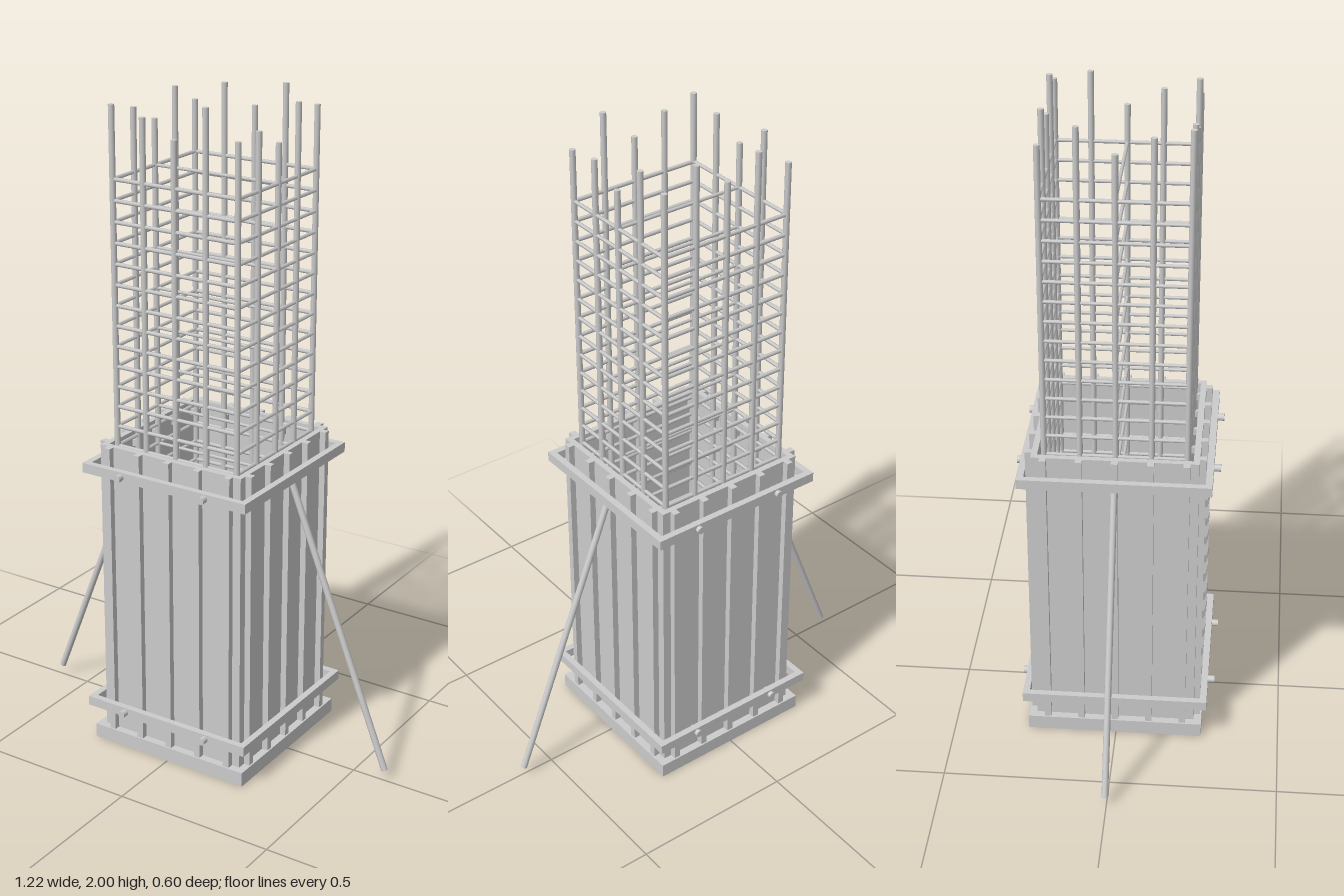
import * as THREE from 'three';

export function createModel() {
  const model = new THREE.Group();
  model.name = 'columnFormwork';
  const body = new THREE.Group();
  body.name = 'body';
  body.position.z = -0.004;
  model.add(body);
  const mat = new THREE.MeshStandardMaterial({ color: 0xcccccc });

  function box(name, w, h, d, x, y, z, parent = body) {
    const m = new THREE.Mesh(new THREE.BoxGeometry(w, h, d), mat);
    m.name = name;
    m.position.set(x, y, z);
    parent.add(m);
    return m;
  }

  // round bar between two points
  function rod(name, a, b, r, parent = body, sides = 8) {
    const p = new THREE.Vector3(...a), q = new THREE.Vector3(...b);
    const dir = q.clone().sub(p);
    const m = new THREE.Mesh(new THREE.CylinderGeometry(r, r, dir.length(), sides), mat);
    m.name = name;
    m.position.copy(p).add(q).multiplyScalar(0.5);
    m.quaternion.setFromUnitVectors(new THREE.Vector3(0, 1, 0), dir.normalize());
    parent.add(m);
  }

  const baseTop = 0.045, wallTop = 0.975, R = 0.207;
  const spots = [-R, -R / 2, 0, R / 2, R];

  // footing and low kicker inside the form
  box('base', 0.534, baseTop, 0.534, 0, baseTop / 2, 0);
  box('kicker', 0.326, 0.03, 0.326, 0, baseTop + 0.015, 0);

  // four walls: panel, outer studs, spacers and clamp beams
  const wallH = wallTop - baseTop, wallY = (wallTop + baseTop) / 2;
  for (let i = 0; i < 4; i++) {
    const side = new THREE.Group();
    side.name = 'formSide' + (i + 1);
    side.rotation.y = i * Math.PI / 2;
    body.add(side);
    box('panel', i % 2 ? 0.45 : 0.486, wallH, 0.018, 0, wallY, 0.234, side);
    for (const x of spots) {
      box('stud', 0.02, wallH, 0.02, x, wallY, 0.252, side);
      box('spacer', 0.012, 0.02, 0.02, x, 0.94, 0.218, side);
    }
    for (const y of [0.129, 0.906])
      box('clampBeam', i % 2 ? 0.524 : 0.564, 0.03, 0.02, 0, y, 0.272, side);
  }

  // clamp bolts on front and back
  for (const y of [0.129, 0.906])
    for (const x of [-0.145, 0.145]) {
      rod('frontBolt', [x, y, 0.26], [x, y, 0.298], 0.011, model, 12);
      rod('backBolt', [x, y, -0.26], [x, y, -0.298], 0.011, model, 12);
    }

  // vertical bars with uneven tops: rows are z, columns are x
  const tops = [
    [1.92, 1.98, 1.925, 2.0, 1.95],
    [1.975, 0, 0, 0, 1.975],
    [1.9, 0, 0, 0, 1.88],
    [1.95, 0, 0, 0, 1.93],
    [1.975, 1.95, 1.9, 2.0, 1.92],
  ];
  spots.forEach((z, j) => spots.forEach((x, k) => {
    if (tops[j][k]) rod('verticalBar', [x, baseTop, z], [x, tops[j][k], z], 0.009);
  }));

  // square stirrups with cross ties
  for (let n = 0; n < 28; n++) {
    const y = 1.765 - n * 0.0613;
    for (const s of [-R, R]) {
      rod('stirrup', [-R, y, s], [R, y, s], 0.006, body, 6);
      rod('stirrup', [s, y, -R], [s, y, R], 0.006, body, 6);
    }
    if (n % 2 === 0) rod('crossTie', [-R, y, 0], [R, y, 0], 0.005, body, 6);
  }

  // raking props on both sides
  for (const s of [-1, 1])
    rod('prop', [s * 0.262, 0.895, 0], [s * 0.602, 0.032, 0], 0.01, body, 12);

  return model;
}
